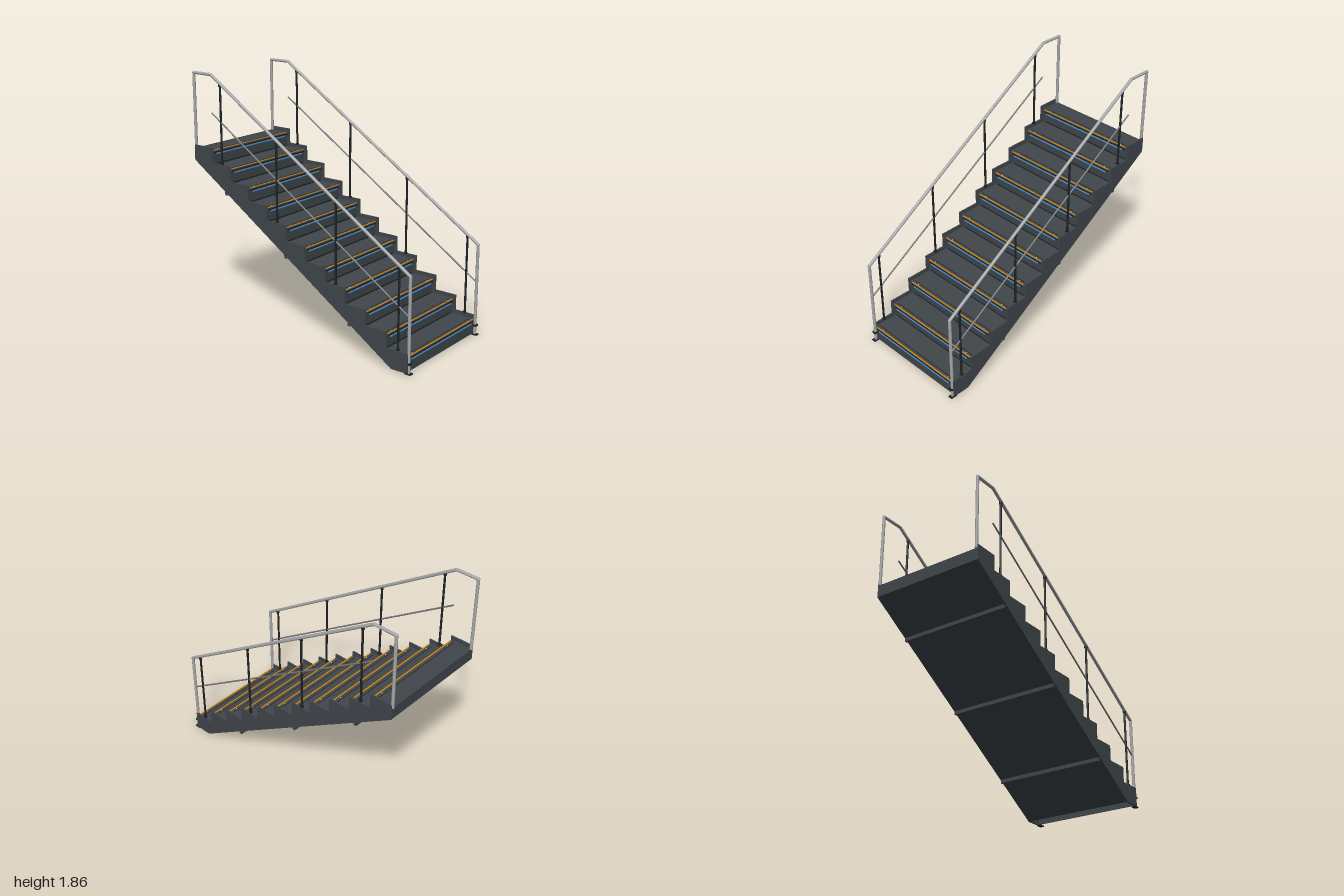
import * as THREE from 'three';

const STEPS = 11, RISE = 0.1157, RUN = 0.1786;
const NOSE_Z = 0.968, TREAD_Y = 0.12, HALF_W = 0.432;

function material(name, color, side = THREE.FrontSide) {
  const m = new THREE.MeshStandardMaterial({ color, side });
  m.name = name;
  return m;
}

export function createModel() {
  const steel = material('charcoal steel', 0x40464b, THREE.DoubleSide);
  const black = material('black trim', 0x1e2224);
  const railGrey = material('rail grey', 0xa6a7a9);
  const midGrey = material('mid rail grey', 0x777a7d);
  const orange = material('orange nosing', 0xd0850f);
  const blue = material('blue light strip', 0x4f97dc);
  const white = material('fastener', 0xd8dadb);

  const model = new THREE.Group();
  model.name = 'staircase';

  const add = (parent, name, geometry, mat) => {
    const mesh = new THREE.Mesh(geometry, mat);
    mesh.name = name;
    parent.add(mesh);
    return mesh;
  };
  const box = (parent, name, w, h, d, x, y, z, mat) => {
    const mesh = add(parent, name, new THREE.BoxGeometry(w, h, d), mat);
    mesh.position.set(x, y, z);
    return mesh;
  };
  // Round bar between two points
  const bar = (parent, name, a, b, r, mat) => {
    const dir = b.clone().sub(a);
    const mesh = add(parent, name, new THREE.CylinderGeometry(r, r, dir.length(), 16), mat);
    mesh.position.copy(a).add(b).multiplyScalar(0.5);
    mesh.quaternion.setFromUnitVectors(new THREE.Vector3(0, 1, 0), dir.normalize());
    return mesh;
  };

  // Treads, risers and their nosing details
  for (let i = 0; i < STEPS; i++) {
    const step = new THREE.Group();
    step.name = 'step' + (i + 1);
    model.add(step);
    const y = TREAD_Y + i * RISE, z = NOSE_Z - i * RUN;
    const back = i === STEPS - 1 ? -0.988 : z - RUN - 0.03;
    const w = HALF_W * 2;
    box(step, 'tread', w, 0.012, z - back, 0, y - 0.006, (z + back) / 2, steel);
    box(step, 'treadLip', w, 0.036, 0.008, 0, y - 0.018, z - 0.004, steel);
    const bottom = i === 0 ? 0.01 : y - RISE;
    const riserZ = i === 0 ? z - 0.008 : z - 0.022;
    box(step, 'riser', w, y - 0.012 - bottom, 0.008, 0, (y - 0.012 + bottom) / 2, riserZ, steel);
    box(step, 'nosingTop', 0.82, 0.004, 0.01, 0, y + 0.002, z - 0.004, orange);
    box(step, 'nosingShadowStrip', 0.82, 0.009, 0.002, 0, y - 0.013, z + 0.001, black);
    box(step, 'lightStrip', 0.77, 0.009, 0.005, 0, y - 0.025, z + 0.002, blue);
    box(step, 'treadGroove', 0.82, 0.001, 0.005, 0, y + 0.0005, z - 0.032, black);
    if (i > 0) box(step, 'riserFootStrip', 0.82, 0.008, 0.002, 0, bottom + 0.009, riserZ + 0.005, black);
    for (const s of [-1, 1]) {
      const stud = add(step, 'fastener', new THREE.CylinderGeometry(0.004, 0.004, 0.003, 8), white);
      stud.position.set(s * 0.355, y + 0.0015, z - 0.018);
    }
  }

  // Sloping soffit, end panel and cross bars beneath
  const slope = Math.atan2(1.185, 1.825);
  const soffit = box(model, 'soffit', HALF_W * 2, 0.008, Math.hypot(1.825, 1.185), 0, 0.603, -0.073, steel);
  soffit.rotation.x = slope;
  box(model, 'topEndPanel', HALF_W * 2, 0.09, 0.008, 0, 1.235, -0.984, steel);
  for (const [z, y] of [[0.47, 0.232], [-0.105, 0.605], [-0.68, 0.975]]) {
    box(model, 'crossBar', 0.87, 0.028, 0.022, 0, y, z, steel);
  }

  // Saw-tooth side plate outline, drawn as (z, y)
  const outline = new THREE.Shape();
  outline.moveTo(0.84, 0.006);
  outline.lineTo(0.977, 0.006);
  for (let i = 0; i < STEPS; i++) {
    const y = 0.149 + i * RISE;
    outline.lineTo(0.977 - i * RUN, y);
    outline.lineTo(0.977 - (i + 1) * RUN, y);
  }
  outline.lineTo(-0.988, 1.19);
  outline.closePath();

  for (const s of [-1, 1]) {
    const side = new THREE.Group();
    side.name = s > 0 ? 'leftSide' : 'rightSide';
    model.add(side);

    const plate = new THREE.ExtrudeGeometry(outline, { depth: 0.011, bevelEnabled: false });
    plate.rotateY(-Math.PI / 2);
    plate.translate(s > 0 ? 0.443 : -0.432, 0, 0);
    add(side, 'stringer', plate, steel);

    // Handrail loop with rounded joints
    const x = s * 0.427;
    const P = (y, z) => new THREE.Vector3(x, y, z);
    const path = [P(0.006, 0.975), P(0.695, 0.975), P(1.849, -0.81), P(1.849, -0.985), P(1.28, -0.985)];
    for (let i = 0; i < path.length - 1; i++) {
      bar(side, 'handrail', path[i], path[i + 1], 0.0115, railGrey);
      if (i > 0) add(side, 'railJoint', new THREE.SphereGeometry(0.0115, 16, 10), railGrey).position.copy(path[i]);
    }
    bar(side, 'midRail', P(0.408, 0.975), P(1.565, -0.81), 0.006, midGrey);

    // Balusters with collars at each end
    for (let k = 0; k < 4; k++) {
      const z = 0.885 - k * 0.535, y0 = 0.149 + k * 3 * RISE;
      const y1 = 0.74 + k * 0.347;
      bar(side, 'baluster', P(y0, z), P(y1, z), 0.008, black);
      bar(side, 'balusterBase', P(y0, z), P(y0 + 0.008, z), 0.014, black);
      bar(side, 'balusterCollar', P(y1 - 0.012, z), P(y1 + 0.004, z), 0.012, black);
    }

    // Foot plate and lower clamp of the front post
    box(side, 'footPlate', 0.034, 0.008, 0.05, x, 0.004, 0.975, black);
    box(side, 'postClamp', 0.03, 0.014, 0.03, x, 0.076, 0.977, black);
  }
  return model;
}
